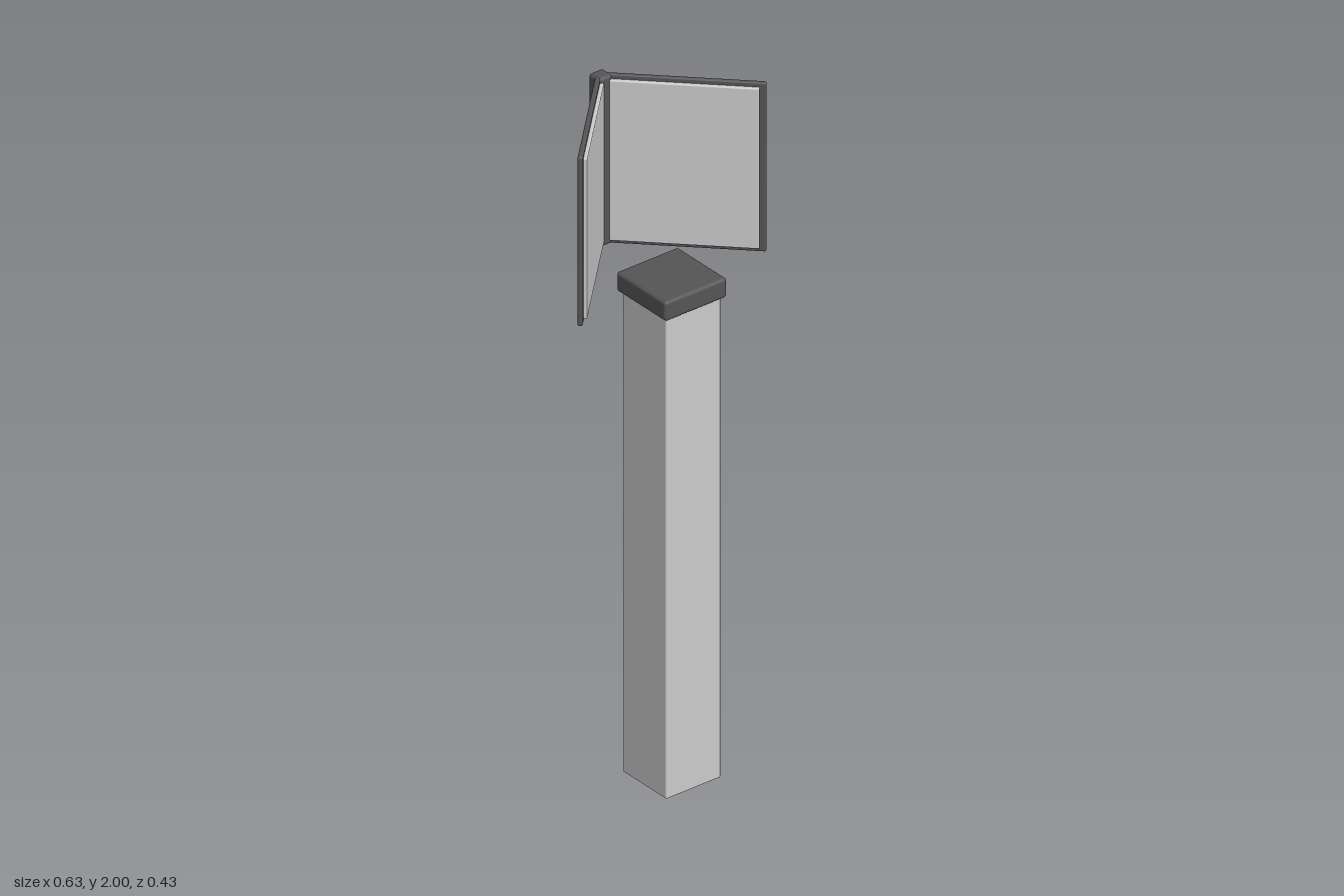
import * as THREE from 'three';
import { RoundedBoxGeometry } from 'three/addons/geometries/RoundedBoxGeometry.js';

export function createModel() {
  const model = new THREE.Group();
  const grey = new THREE.MeshStandardMaterial({ color: 0xcccccc });
  const dark = new THREE.MeshStandardMaterial({ color: 0x555555 });

  // Softly bevelled block given by its ranges along x, y and z
  function block(parent, name, material, radius, [x0, x1], [y0, y1], [z0, z1]) {
    const geometry = new RoundedBoxGeometry(x1 - x0, y1 - y0, z1 - z0, 3, radius);
    const mesh = new THREE.Mesh(geometry, material);
    mesh.name = name;
    mesh.position.set((x0 + x1) / 2, (y0 + y1) / 2, (z0 + z1) / 2);
    parent.add(mesh);
  }

  // Square post with an overhanging cap
  block(model, 'post', grey, 0.005, [-0.092, 0.092], [0, 1.49], [0.016, 0.2]);
  block(model, 'postCap', dark, 0.01, [-0.104, 0.104], [1.465, 1.525], [0.003, 0.212]);

  // Upright hinge spine behind the post
  block(model, 'spine', dark, 0.01, [-0.024, 0.024], [1.485, 2], [-0.214, -0.168]);

  // Two wings at 45 degrees: dark backing with a lighter inset face
  for (const [side, name] of [[1, 'leftWing'], [-1, 'rightWing']]) {
    const wing = new THREE.Group();
    wing.name = name;
    wing.rotation.y = -side * Math.PI / 4;
    const span = (a, b) => (side > 0 ? [a, b] : [-b, -a]);
    block(wing, 'backing', dark, 0.005, span(-0.122, 0.302), [1.485, 2], [-0.148, -0.134]);
    block(wing, 'innerFace', grey, 0.004, span(-0.112, 0.285), [1.498, 1.987], [-0.14, -0.124]);
    model.add(wing);
  }
  return model;
}
